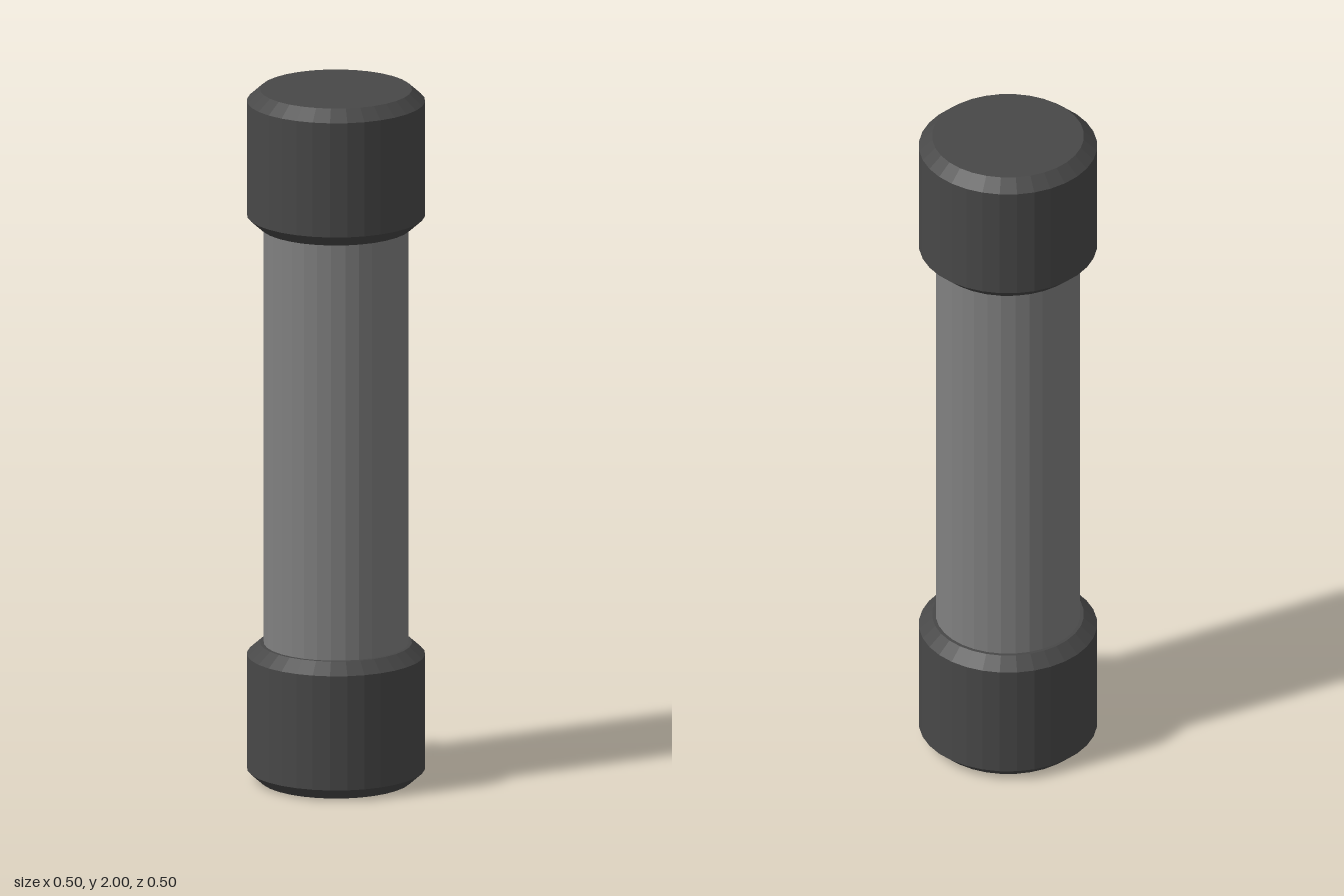
import * as THREE from 'three';

const SIDES = 32;

export function createModel() {
  const group = new THREE.Group();
  const gripMaterial = new THREE.MeshStandardMaterial({ color: 0x808080, flatShading: true });
  const weightMaterial = new THREE.MeshStandardMaterial({ color: 0x484848, flatShading: true });

  // Straight handle, sunk a little into both weights
  const grip = new THREE.Mesh(new THREE.CylinderGeometry(0.203, 0.203, 1.3, SIDES), gripMaterial);
  grip.name = 'grip';
  grip.position.y = 1;
  group.add(grip);

  // Chamfered end weights
  const radius = 0.25, rim = 0.213, height = 0.397, bevel = 0.033;
  const profile = [
    [0, 0], [rim, 0], [radius, bevel],
    [radius, height - bevel], [rim, height], [0, height],
  ].map(([x, y]) => new THREE.Vector2(x, y));
  const weightGeometry = new THREE.LatheGeometry(profile, SIDES);

  for (const [name, y] of [['bottomWeight', 0], ['topWeight', 2 - height]]) {
    const weight = new THREE.Mesh(weightGeometry, weightMaterial);
    weight.name = name;
    weight.position.y = y;
    group.add(weight);
  }
  return group;
}
